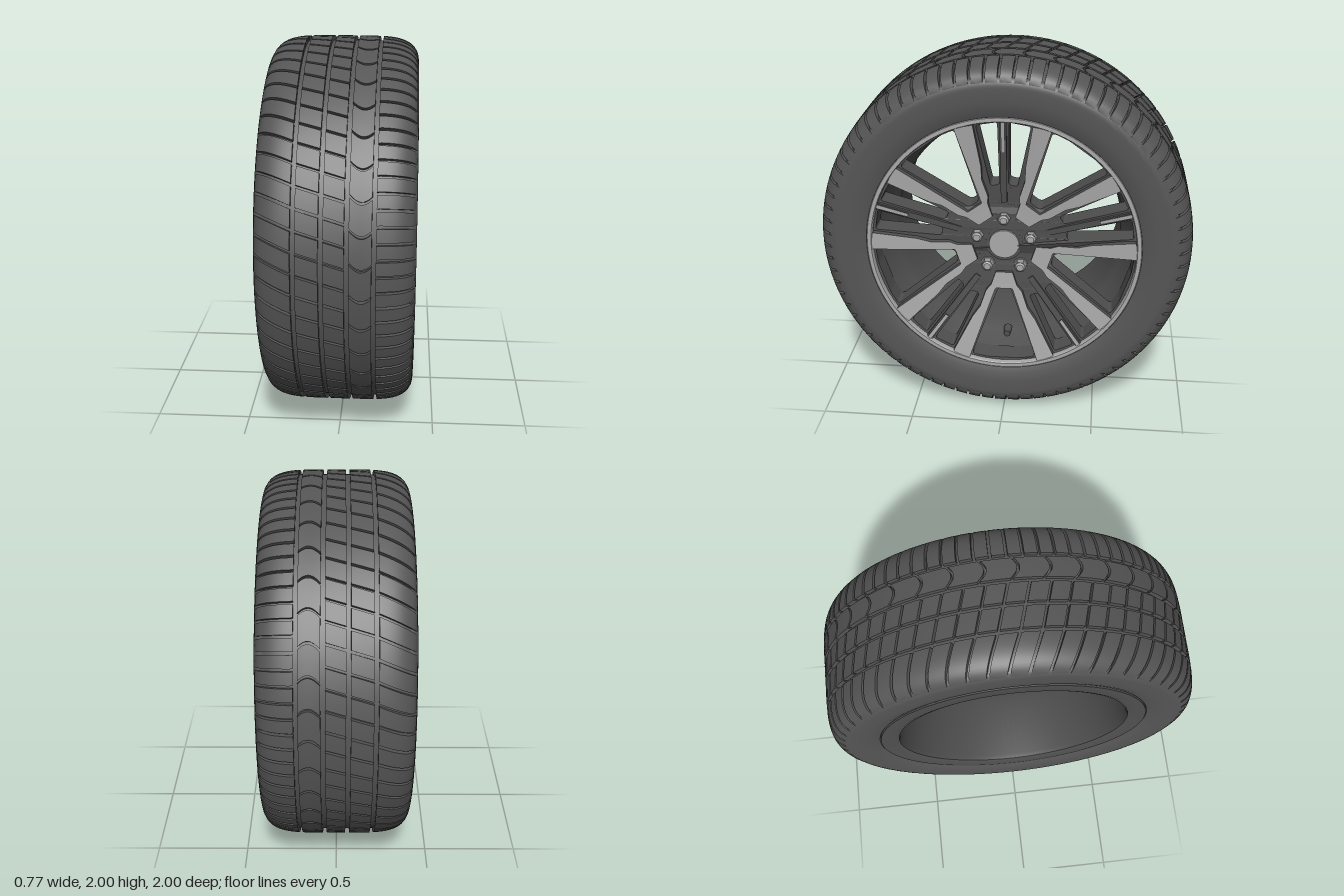
import * as THREE from 'three';
import { mergeGeometries, toCreasedNormals } from 'three/addons/utils/BufferGeometryUtils.js';

const mat = (color) => new THREE.MeshStandardMaterial({ color, side: THREE.DoubleSide });
const rubber = mat(0x555555), dark = mat(0x505050), bright = mat(0xaaaaaa), steel = mat(0x999999);
const TAU = Math.PI * 2;

// Tyre crown radius at a position across the width
const HALF = 0.385;
const crown = (x) => 0.88 + 0.12 * Math.sqrt(Math.max(0, 1 - Math.pow(Math.abs(x) / HALF, 5)));
// Groove floor, fading out towards the sidewall
const grooveFloor = (x) => crown(x) - 0.024 * Math.min(1, (HALF - Math.abs(x)) / 0.04);
// How far the cross grooves lean around the tyre at x
function lean(x) {
  if (x < 0.06) return x < -0.19 ? 0.06 - 0.42 * (x + 0.19) : 0.06 - 0.3 * (x + 0.19);
  return -0.02 - 0.05 * Math.sin(Math.PI * Math.min(1, (x - 0.06) / 0.14));
}

function add(group, name, geometry, material) {
  const mesh = new THREE.Mesh(geometry, material);
  mesh.name = name;
  group.add(mesh);
  return mesh;
}

// Solid of revolution about x, from [radius, x] points
function revolve(points, segments = 120) {
  const g = new THREE.LatheGeometry(points.map((p) => new THREE.Vector2(...p)), segments);
  g.rotateZ(-Math.PI / 2);
  return toCreasedNormals(g, 0.5);
}

// Disc along x, centred at x, with front position y, z
function disc(r0, r1, sides, x0, x1, y = 0, z = 0) {
  const g = new THREE.CylinderGeometry(r1, r0, x1 - x0, sides);
  g.rotateZ(-Math.PI / 2);
  return toCreasedNormals(g.translate((x0 + x1) / 2, y, z), 0.6);
}

// One rib of raised tread blocks between x0 and x1
function treadRib(x0, x1, count, gap, nx) {
  const pos = [], idx = [], nj = 2, cols = nj + 3;
  for (let k = 0; k < count; k++) {
    const start = pos.length / 3;
    for (let i = 0; i <= nx + 2; i++) {
      const s = Math.min(nx, Math.max(0, i - 1)) / nx;
      const x = x0 + (x1 - x0) * s;
      for (let j = 0; j < cols; j++) {
        const t = Math.min(nj, Math.max(0, j - 1)) / nj;
        const skirt = i === 0 || i === nx + 2 || j === 0 || j === cols - 1;
        const r = skirt ? grooveFloor(x) - 0.002 : crown(x);
        const a = (k * TAU) / count + lean(x) + gap / 2 + t * (TAU / count - gap);
        pos.push(x, r * Math.sin(a), r * Math.cos(a));
      }
    }
    for (let i = 0; i < nx + 2; i++) {
      for (let j = 0; j < cols - 1; j++) {
        if ((i === 0 || i === nx + 1) && (j === 0 || j === cols - 2)) continue;
        const a = start + i * cols + j, b = a + cols;
        idx.push(a, b, b + 1, a, b + 1, a + 1);
      }
    }
  }
  const g = new THREE.BufferGeometry();
  g.setAttribute('position', new THREE.Float32BufferAttribute(pos, 3));
  g.setIndex(idx);
  return toCreasedNormals(g, 0.6);
}

// Polygon with rounded corners; points are [sideways, outward] along a spoke at angle a
function spokeShape(points, a, round, mirror = 1) {
  const p = points.map(([u, v]) => new THREE.Vector2(
    v * Math.cos(a) + mirror * u * Math.sin(a), v * Math.sin(a) - mirror * u * Math.cos(a)));
  const shape = new THREE.Shape();
  p.forEach((c, i) => {
    const toward = (q) => c.clone().lerp(q, Math.min(0.45, round / c.distanceTo(q)));
    const s = toward(p[(i + p.length - 1) % p.length]), e = toward(p[(i + 1) % p.length]);
    if (i === 0) shape.moveTo(s.x, s.y); else shape.lineTo(s.x, s.y);
    shape.quadraticCurveTo(c.x, c.y, e.x, e.y);
  });
  shape.closePath();
  return shape;
}

// Extrude along x and sink the middle to a shallow dish
function dished(shape, x0, x1) {
  const g = new THREE.ExtrudeGeometry(shape, { depth: x1 - x0, bevelEnabled: false, curveSegments: 4 });
  const p = g.attributes.position;
  for (let i = 0; i < p.count; i++) {
    const r = Math.max(0.2, Math.hypot(p.getX(i), p.getY(i)));
    p.setZ(i, p.getZ(i) + x0 - 0.085 * (1 - r / 0.7));
  }
  g.rotateY(Math.PI / 2);
  g.computeVertexNormals();
  return g;
}

export function createModel() {
  const model = new THREE.Group();
  model.name = 'wheel';
  model.position.y = 1;

  // Tyre carcass with sidewalls and groove floors
  const side = [[0.715, 0.345], [0.728, 0.366], [0.76, 0.378], [0.81, HALF], [0.86, HALF]];
  const profile = side.map(([r, x]) => [r, -x]);
  for (let i = 0; i <= 48; i++) {
    const x = -HALF * Math.cos((i / 48) * Math.PI);
    profile.push([grooveFloor(x), x]);
  }
  profile.push(...side.slice().reverse());
  add(model, 'tyreCarcass', revolve(profile, 160), rubber);

  // Five ribs of tread blocks
  const ribs = [
    [-0.379, -0.2, 60, 0.015, 12], [-0.178, -0.07, 60, 0.013, 3], [-0.048, 0.05, 60, 0.013, 3],
    [0.072, 0.178, 40, 0.013, 8], [0.198, 0.379, 80, 0.014, 12],
  ];
  add(model, 'tread', mergeGeometries(ribs.map((r) => treadRib(...r))), rubber);

  // Rim barrel and its front lip
  add(model, 'rimBarrel', revolve([
    [0.725, -0.345], [0.722, -0.372], [0.65, -0.374], [0.625, -0.365], [0.62, -0.34],
    [0.62, 0.0], [0.64, 0.1], [0.69, 0.2], [0.702, 0.36],
  ]), dark);
  add(model, 'rimLip', revolve([
    [0.698, 0.3], [0.7, 0.362], [0.704, 0.368], [0.724, 0.368], [0.73, 0.36], [0.73, 0.33],
  ]), bright);

  // Spoke disc: five wide windows and five pairs of narrow ones
  const wideWindow = [[-0.033, 0.272], [0.033, 0.272], [0.176, 0.667], [0.09, 0.684], [-0.09, 0.684], [-0.176, 0.667]];
  const narrowWindow = [[0.024, 0.34], [0.07, 0.33], [0.14, 0.672], [0.03, 0.691]];
  const body = new THREE.Shape().absarc(0, 0, 0.704, 0, TAU);
  const star = new THREE.Shape();
  for (let i = 0; i < 100; i++) {
    const a = (i / 100) * TAU;
    if (i) star.lineTo(0.704 * Math.cos(a), 0.704 * Math.sin(a));
    else star.moveTo(0.704, 0);
  }
  const wide = [], mid = [];
  for (let k = 0; k < 5; k++) {
    mid.push(Math.PI / 2 + (k * TAU) / 5);
    wide.push(-Math.PI / 2 + (k * TAU) / 5);
  }
  wide.forEach((a) => star.holes.push(spokeShape(wideWindow, a, 0.02)));
  mid.forEach((a) => [1, -1].forEach((m) => star.holes.push(spokeShape(narrowWindow, a, 0.014, m))));
  add(model, 'spokeDisc', dished(star, 0.215, 0.335), dark);

  // Polished V-shaped spoke faces
  const halfFace = [
    [0.045, 0.165], [0.07, 0.24], [0.098, 0.275], [0.13, 0.37], [0.172, 0.43], [0.278, 0.64],
    [0.235, 0.661], [0.188, 0.677], [0.046, 0.26],
  ];
  const face = [...halfFace, ...halfFace.slice().reverse().map(([u, v]) => [-u, v])];
  wide.forEach((a) => add(model, 'spokeFace', dished(spokeShape(face, a, 0.006), 0.33, 0.366), [bright, dark]));

  // Thin middle spokes with a polished outer strip
  const thin = [[-0.016, 0.24], [0.016, 0.24], [0.018, 0.7], [-0.018, 0.7]];
  const strip = [[-0.009, 0.53], [0.009, 0.53], [0.011, 0.7], [-0.011, 0.7]];
  mid.forEach((a) => {
    add(model, 'middleSpoke', dished(spokeShape(thin, a, 0.004), 0.23, 0.352), dark);
    add(model, 'middleSpokeStrip', dished(spokeShape(strip, a, 0.003), 0.34, 0.36), [bright, dark]);
  });

  // Hub, centre cap and mounting pad
  add(model, 'mountingPad', disc(0.18, 0.21, 48, 0.1, 0.2), dark);
  add(model, 'hubRing', disc(0.105, 0.098, 48, 0.25, 0.292), dark);
  add(model, 'centreCap', disc(0.084, 0.08, 48, 0.25, 0.302), bright);

  // Wheel nuts in their seats
  mid.forEach((a) => {
    const y = 0.15 * Math.sin(a), z = -0.15 * Math.cos(a);
    const seat = new THREE.TorusGeometry(0.046, 0.008, 8, 28);
    seat.rotateY(Math.PI / 2);
    add(model, 'nutSeat', seat.translate(0.276, y, z), dark);
    add(model, 'nutCollar', disc(0.04, 0.036, 24, 0.26, 0.288, y, z), steel);
    add(model, 'wheelNut', disc(0.034, 0.032, 6, 0.28, 0.325, y, z), steel);
    add(model, 'nutTip', disc(0.026, 0.018, 20, 0.325, 0.333, y, z), bright);
  });

  // Valve at the bottom of the barrel
  add(model, 'valve', disc(0.024, 0.018, 16, 0.08, 0.15, -0.642, 0), dark);
  return model;
}
